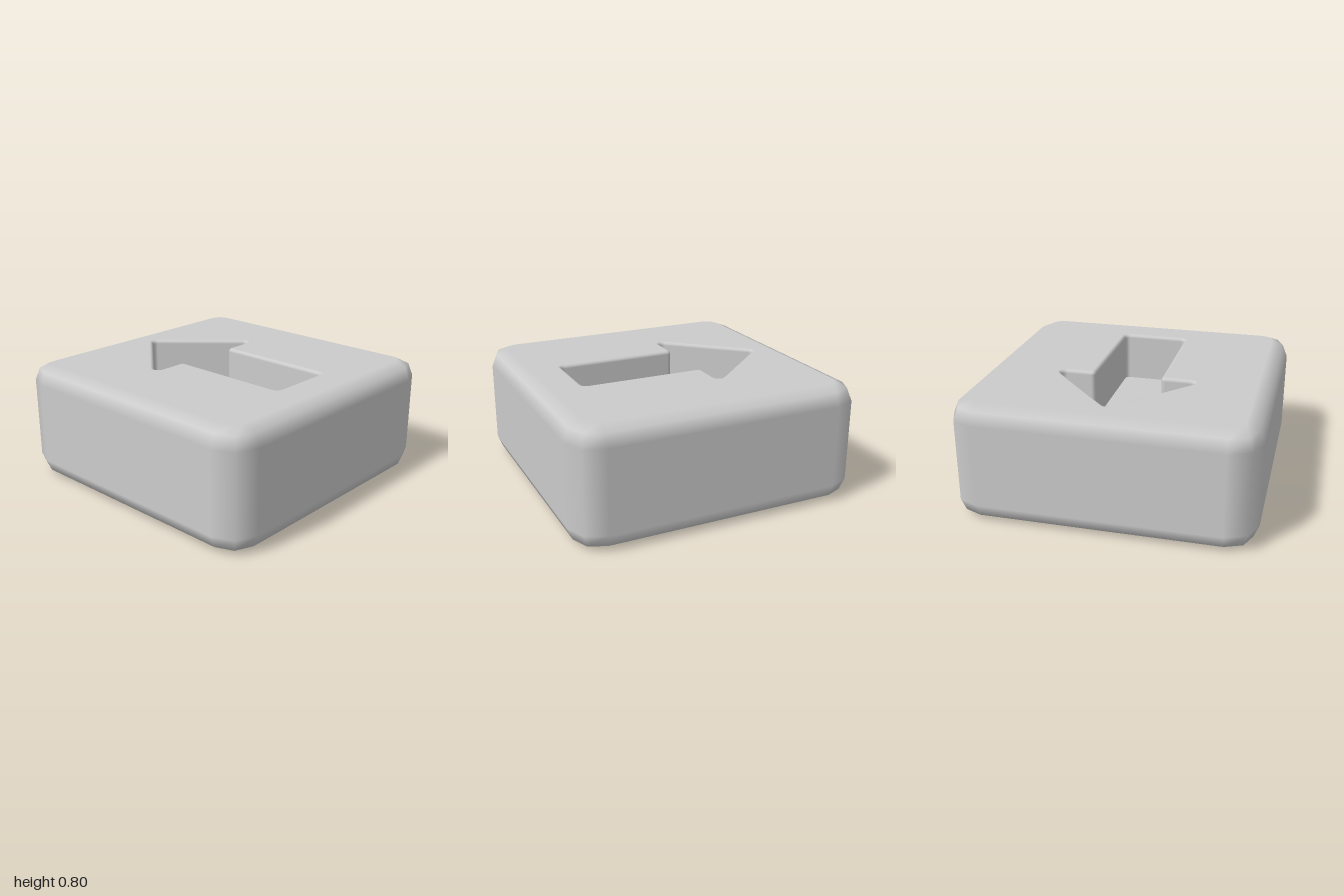
import * as THREE from 'three';

// Outline of a counter-clockwise polygon with arc-rounded corners; every point carries its outward normal
function roundedOutline(corners, radius, segments) {
  const out = [];
  const pts = corners.map(([x, y]) => new THREE.Vector2(x, y));
  pts.forEach((p, i) => {
    const d0 = p.clone().sub(pts[(i + pts.length - 1) % pts.length]).normalize();
    const d1 = pts[(i + 1) % pts.length].clone().sub(p).normalize();
    const turn = Math.atan2(d0.cross(d1), d0.dot(d1));
    const s = Math.sign(turn);
    const start = Math.atan2(-d0.x, d0.y);
    const cut = radius * Math.tan(Math.abs(turn) / 2);
    const cx = p.x - d0.x * cut - s * radius * Math.cos(start);
    const cy = p.y - d0.y * cut - s * radius * Math.sin(start);
    for (let k = 0; k <= segments; k++) {
      const a = start + (turn * k) / segments;
      const nx = Math.cos(a), ny = Math.sin(a);
      out.push({ x: cx + s * radius * nx, y: cy + s * radius * ny, nx, ny });
    }
  });
  return out;
}

const ring = (outline, offset) =>
  outline.map((p) => new THREE.Vector2(p.x + p.nx * offset, p.y + p.ny * offset));

// Skin through offset copies of an outline; levels are [height, offset, normal tilt]
function loft(outline, levels, side) {
  const pos = [], nor = [], idx = [], n = outline.length;
  levels.forEach(([h, offset, tilt], i) => {
    const c = Math.cos(tilt) * side;
    ring(outline, offset).forEach((v, j) => {
      pos.push(v.x, h, -v.y);
      nor.push(outline[j].nx * c, Math.sin(tilt), -outline[j].ny * c);
      if (i === levels.length - 1) return;
      const a = i * n + j, b = i * n + ((j + 1) % n);
      idx.push(a, b, b + n, a, b + n, a + n);
    });
  });
  const g = new THREE.BufferGeometry();
  g.setAttribute('position', new THREE.Float32BufferAttribute(pos, 3));
  g.setAttribute('normal', new THREE.Float32BufferAttribute(nor, 3));
  g.setIndex(idx);
  return g;
}

// Flat horizontal face, optionally pierced
function flat(points, y, hole) {
  const shape = new THREE.Shape(points);
  if (hole) shape.holes.push(new THREE.Path(hole));
  return new THREE.ShapeGeometry(shape).rotateX(-Math.PI / 2).translate(0, y, 0);
}

export function createModel() {
  const group = new THREE.Group();
  group.name = 'arrowBlock';
  const material = new THREE.MeshStandardMaterial({ color: 0xcccccc });
  const add = (name, geometry) => {
    const mesh = new THREE.Mesh(geometry, material);
    mesh.name = name;
    group.add(mesh);
    return mesh;
  };

  const H = 0.8, bevel = 0.12, rim = 0.025, floorY = 0.45;
  const block = roundedOutline([[-1, -1], [1, -1], [1, 1], [-1, 1]], 0.2, 2);
  const arrow = roundedOutline([
    [-0.23, -0.66], [0.23, -0.66], [0.23, 0.195], [0.5, 0.195],
    [0, 0.75], [-0.5, 0.195], [-0.23, 0.195],
  ], 0.03, 4);

  // Block sides with a two-step bevel at bottom and top
  const tilts = [0, Math.PI / 4, Math.PI / 2];
  const upper = tilts.map((t) => [H - bevel + bevel * Math.sin(t), bevel * (Math.cos(t) - 1), t]);
  const lower = upper.map(([y, o, t]) => [H - y, o, -t]).reverse();
  add('blockSides', loft(block, [...lower, ...upper], 1));

  // Top face pierced by the arrow, and the underside
  add('topFace', flat(ring(block, -bevel), H, ring(arrow, rim)));
  add('underside', flat(ring(block, -bevel), 0).rotateX(Math.PI));

  // Arrow recess: softened rim, straight walls and floor
  const rimLevels = [3, 2, 1, 0].map((k) => {
    const t = (k * Math.PI) / 6;
    return [H - rim + rim * Math.sin(t), rim * (1 - Math.cos(t)), t];
  });
  add('arrowWalls', loft(arrow, [...rimLevels, [floorY, 0, 0]], -1));
  add('arrowFloor', flat(ring(arrow, 0), floorY));

  return group;
}
